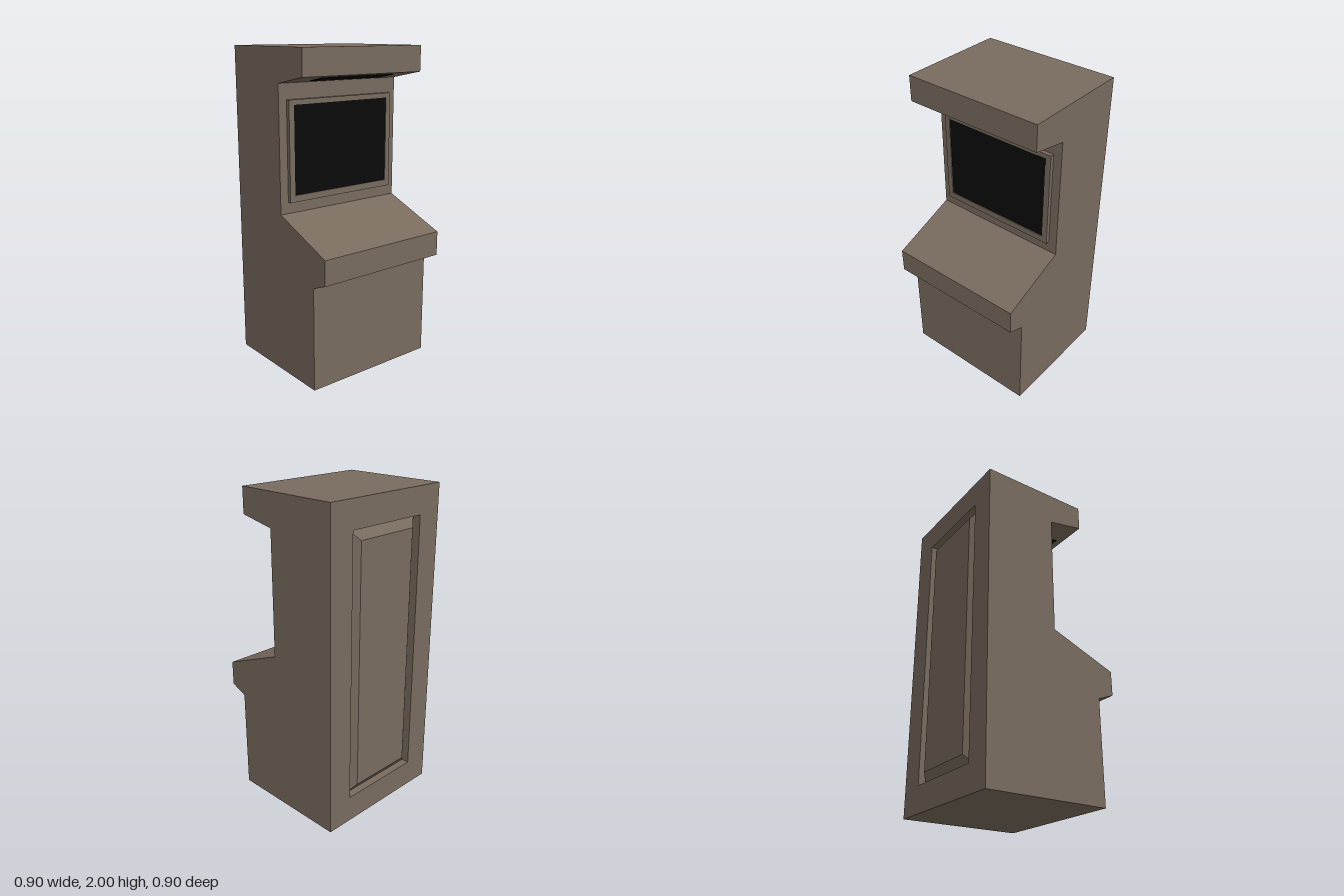
import * as THREE from 'three';

const material = (color) => new THREE.MeshStandardMaterial({ color });

// Rectangle outline, corner to corner
function rect(target, x, y0, y1) {
  target.moveTo(-x, y0);
  target.lineTo(x, y0);
  target.lineTo(x, y1);
  target.lineTo(-x, y1);
  target.closePath();
  return target;
}

// Rectangular frame with an opening, running from z to z + depth
function frame(outer, inner, z, depth) {
  const shape = rect(new THREE.Shape(), ...outer);
  shape.holes.push(rect(new THREE.Path(), ...inner));
  return new THREE.ExtrudeGeometry(shape, { depth, bevelEnabled: false }).translate(0, 0, z);
}

export function createModel() {
  const group = new THREE.Group();
  const wood = material(0x786b5e);
  const black = material(0x0a0a0a);
  const add = (name, geometry, mat) => {
    const mesh = new THREE.Mesh(geometry, mat);
    mesh.name = name;
    group.add(mesh);
    return mesh;
  };

  const halfWidth = 0.45;
  const groove = 0.05; // depth of the groove in the back
  const backZ = -0.45;

  // Cabinet: side profile (z, y) extruded across the width
  const profile = [
    [backZ + groove, 0], [0.34, 0], [0.34, 0.65], [0.45, 0.695], [0.45, 0.85],
    [0.02, 1.02], [0.02, 1.795], [0.255, 1.84], [0.255, 2], [backZ + groove, 2],
  ].map(([z, y]) => new THREE.Vector2(z, y));
  const cabinet = new THREE.ExtrudeGeometry(new THREE.Shape(profile), {
    depth: halfWidth * 2, bevelEnabled: false,
  });
  cabinet.rotateY(-Math.PI / 2).translate(halfWidth, 0, 0);
  add('cabinet', cabinet, wood);

  // Back: border around an opening, filled by a raised panel with sloping edges
  const opening = [0.282, 0.168, 1.832];
  add('backFrame', frame([halfWidth, 0, 2], opening, backZ, groove), wood);

  const bevel = 0.065;
  const panel = new THREE.BoxGeometry(0.564, 1.664, groove).toNonIndexed();
  const p = panel.attributes.position;
  for (let i = 0; i < p.count; i++) {
    if (p.getZ(i) > 0) continue;
    p.setX(i, p.getX(i) - Math.sign(p.getX(i)) * bevel);
    p.setY(i, p.getY(i) - Math.sign(p.getY(i)) * bevel);
  }
  panel.computeVertexNormals();
  panel.translate(0, 1, backZ + groove / 2);
  add('backPanel', panel, wood);

  // Screen set just inside its raised surround
  add('screenFrame', frame([0.395, 1.09, 1.7], [0.36, 1.13, 1.67], 0.02, 0.025), wood);
  add('screen', new THREE.BoxGeometry(0.72, 0.54, 0.02).translate(0, 1.4, 0.03), black);

  // Lamp strip lying on the sloping underside of the top
  const lamp = add('lampStrip', new THREE.BoxGeometry(0.54, 0.008, 0.13), black);
  lamp.position.set(0, 1.818, 0.14);
  lamp.rotation.x = -Math.atan2(0.045, 0.235);

  return group;
}
